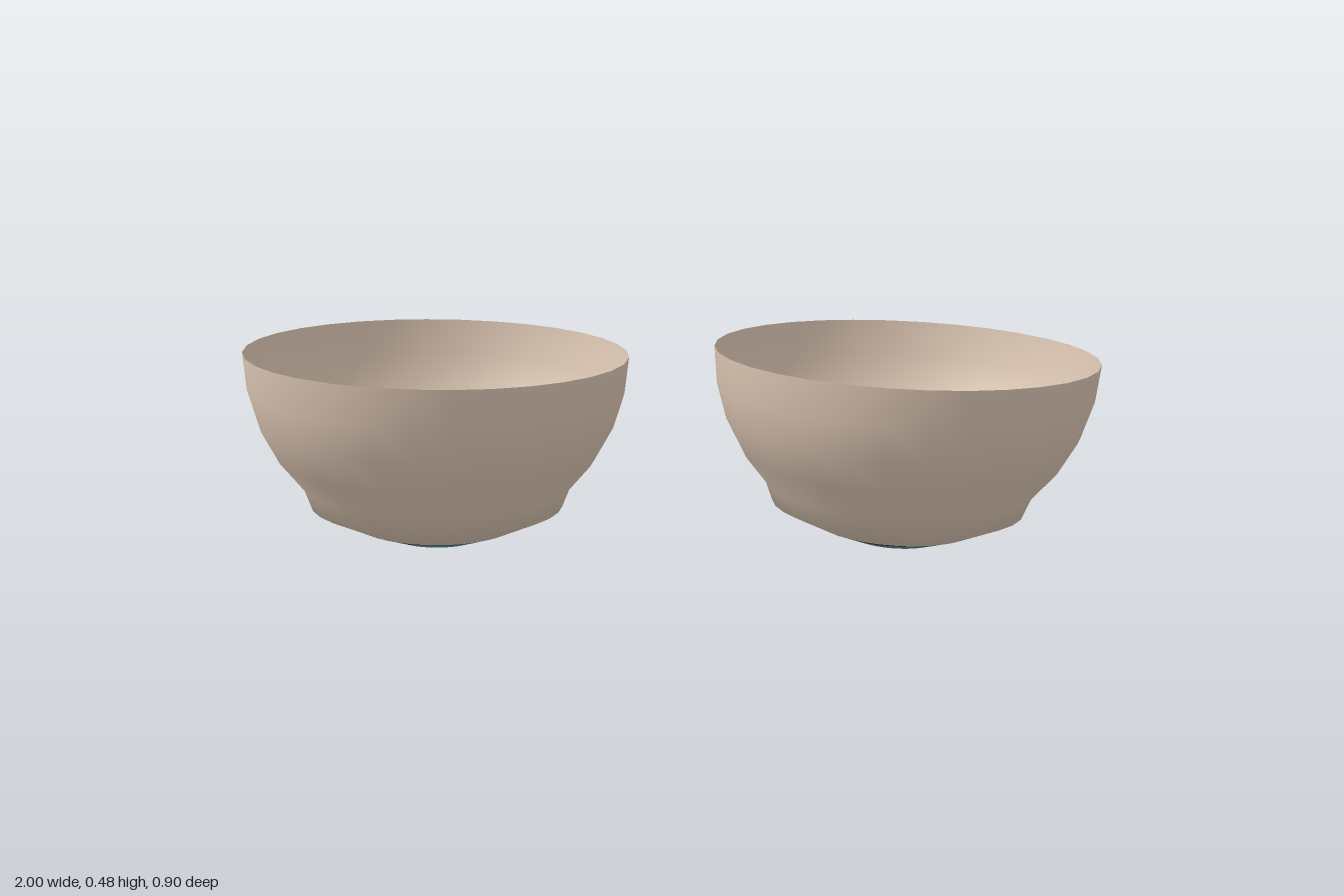
import * as THREE from 'three';

const mat = (name, color) => new THREE.MeshStandardMaterial({ name, color, side: THREE.DoubleSide });

const IRIS_R = 0.19, FLAT_R = 0.105;
const deg = (d) => (d * Math.PI) / 180;

// depth of the cornea surface below the rim plane
const corneaY = (r) => (r <= FLAT_R ? -0.45 : -0.45 + (0.031 * (r - FLAT_R)) / (IRIS_R - FLAT_R));

// smooth bump around an angle, used to shape the iris markings
function bump(t, centre, width) {
  const d = Math.atan2(Math.sin(t - deg(centre)), Math.cos(t - deg(centre))) / deg(width);
  return Math.abs(d) < 1 ? 0.5 + 0.5 * Math.cos(Math.PI * d) : 0;
}

// coloured band of the cornea between two radius rules r(angle)
function corneaBand(inner, outer, from = 0, to = 360) {
  const N = 96, M = 5, pos = [], nor = [], idx = [];
  for (let j = 0; j <= N; j++) {
    const t = deg(from + ((to - from) * j) / N);
    const a = inner(t), b = Math.max(a, outer(t));
    const radii = [0, 0.25, 0.5, 0.75, 1].map((k) => a + (b - a) * k);
    if (a < FLAT_R && b > FLAT_R) {
      // keep a vertex on the edge of the flat centre
      let near = 1;
      for (let i = 1; i < 4; i++) if (Math.abs(radii[i] - FLAT_R) < Math.abs(radii[near] - FLAT_R)) near = i;
      radii[near] = FLAT_R;
    }
    for (const r of radii) {
      const tilt = 0.39 * Math.pow(r / IRIS_R, 1.35);
      pos.push(r * Math.cos(t), corneaY(r), r * Math.sin(t));
      nor.push(Math.sin(tilt) * Math.cos(t), -Math.cos(tilt), Math.sin(tilt) * Math.sin(t));
    }
  }
  for (let j = 0; j < N; j++) {
    for (let i = 0; i < M - 1; i++) {
      const p = j * M + i;
      idx.push(p, p + 1, p + M, p + 1, p + M + 1, p + M);
    }
  }
  const g = new THREE.BufferGeometry();
  g.setAttribute('position', new THREE.Float32BufferAttribute(pos, 3));
  g.setAttribute('normal', new THREE.Float32BufferAttribute(nor, 3));
  g.setIndex(idx);
  return g;
}

export function createModel() {
  const beige = mat('beige', 0xdec8b5);
  const teal = mat('teal', 0x4c7680);
  const blue = mat('pale blue', 0x6c99a2);
  const olive = mat('olive', 0x7f8a72);
  const dark = mat('dark navy', 0x1f2a36);

  // open half shell, from the iris edge up to the rim
  const profile = [
    [IRIS_R, -0.419], [0.299, -0.368], [0.318, -0.318], [0.374, -0.25],
    [0.416, -0.172], [0.441, -0.088], [0.45, 0],
  ].map(([x, y]) => new THREE.Vector2(x, y));
  const shellGeo = new THREE.LatheGeometry(profile, 32);

  // radius rules for the borders between iris colours
  const pupilR = (t) => 0.068 + 0.002 * Math.sin(5 * t);
  const oliveR = (t) => 0.11 + 0.007 * Math.sin(3 * t + 1) + 0.005 * Math.sin(7 * t);
  const blueR = (t) => 0.15 + 0.005 * Math.sin(4 * t + 2) + 0.004 * Math.sin(9 * t)
    - 0.028 * bump(t, 350, 45) + 0.012 * bump(t, 135, 40) - 0.018 * bump(t, 195, 35);
  const darkR = (t) => IRIS_R - 0.047 * bump(t, 182, 52) - 0.024 * bump(t, 145, 40) - 0.022 * bump(t, 108, 26);
  const edgeR = () => IRIS_R;

  const parts = [
    ['pupil', corneaBand(() => 0, pupilR), dark],
    ['irisInner', corneaBand(pupilR, oliveR), olive],
    ['irisMiddle', corneaBand(oliveR, (t) => Math.min(blueR(t), darkR(t))), blue],
    ['irisOuter', corneaBand((t) => Math.min(blueR(t), darkR(t)), darkR), teal],
    ['irisShadow', corneaBand(darkR, edgeR, 75, 240), dark],
    ['shell', shellGeo, beige],
  ];

  const model = new THREE.Group();
  model.name = 'eyes';
  const axis = new THREE.Vector3(0.031, 1, 0.039).normalize();
  for (const side of [-1, 1]) {
    const eye = new THREE.Group();
    eye.name = side > 0 ? 'leftEye' : 'rightEye';
    for (const [name, geo, material] of parts) {
      const mesh = new THREE.Mesh(geo, material);
      mesh.name = name;
      eye.add(mesh);
    }
    // both eyes share the same slight tilt
    eye.quaternion.setFromUnitVectors(new THREE.Vector3(0, 1, 0), axis);
    eye.position.set(side * 0.55, 0.455, 0);
    model.add(eye);
  }
  return model;
}
